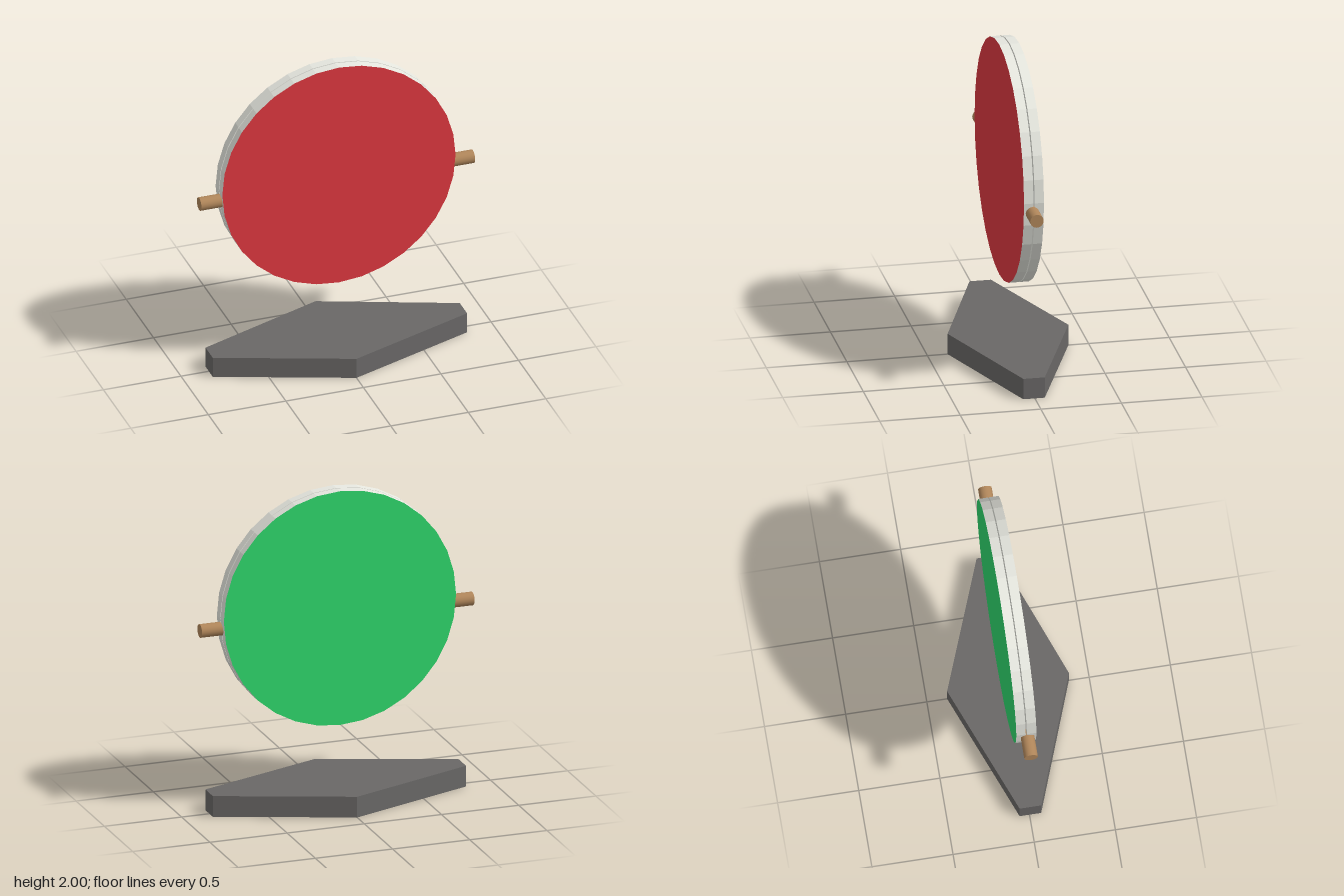
import * as THREE from 'three';

const mat = (name, color, flatShading = false) => {
  const m = new THREE.MeshStandardMaterial({ color, flatShading });
  m.name = name;
  return m;
};

export function createModel() {
  const red = mat('red', 0xde3840);
  const green = mat('green', 0x2fd76c);
  const rim = mat('pale grey', 0xe6e7df, true);
  const wood = mat('wood brown', 0xb0865a);
  const stone = mat('dark grey', 0x696766, true);

  const group = new THREE.Group();
  group.name = 'twoSidedDisc';
  const add = (name, geometry, material, x, y, z) => {
    const mesh = new THREE.Mesh(geometry, material);
    mesh.name = name;
    mesh.position.set(x, y, z);
    group.add(mesh);
  };

  // Two thin discs with a narrow gap; only the outward faces are painted
  const disc = (name, z0, z1, frontMat, backMat) => {
    const g = new THREE.CylinderGeometry(0.752, 0.752, z1 - z0, 32).rotateX(Math.PI / 2);
    add(name, g, [rim, frontMat, backMat], 0, 1.248, (z0 + z1) / 2);
  };
  disc('frontDisc', -0.005, 0.054, red, rim);
  disc('backDisc', -0.07, -0.012, rim, green);

  // Axle running through both discs
  const axle = new THREE.CylinderGeometry(0.042, 0.042, 1.765, 20).rotateZ(Math.PI / 2);
  add('axle', axle, wood, 0, 1.183, 0);

  // Six-sided base slab, pointed at front and back with blunt ends
  const outline = [[0, -0.375], [0.82, -0.072], [0.82, 0.061], [0, 0.375], [-0.82, 0.061], [-0.82, -0.072]];
  const shape = new THREE.Shape(outline.map(([x, y]) => new THREE.Vector2(x, y)));
  const base = new THREE.ExtrudeGeometry(shape, { depth: 0.133, bevelEnabled: false }).rotateX(-Math.PI / 2);
  add('base', base, stone, 0, 0, 0);

  return group;
}
